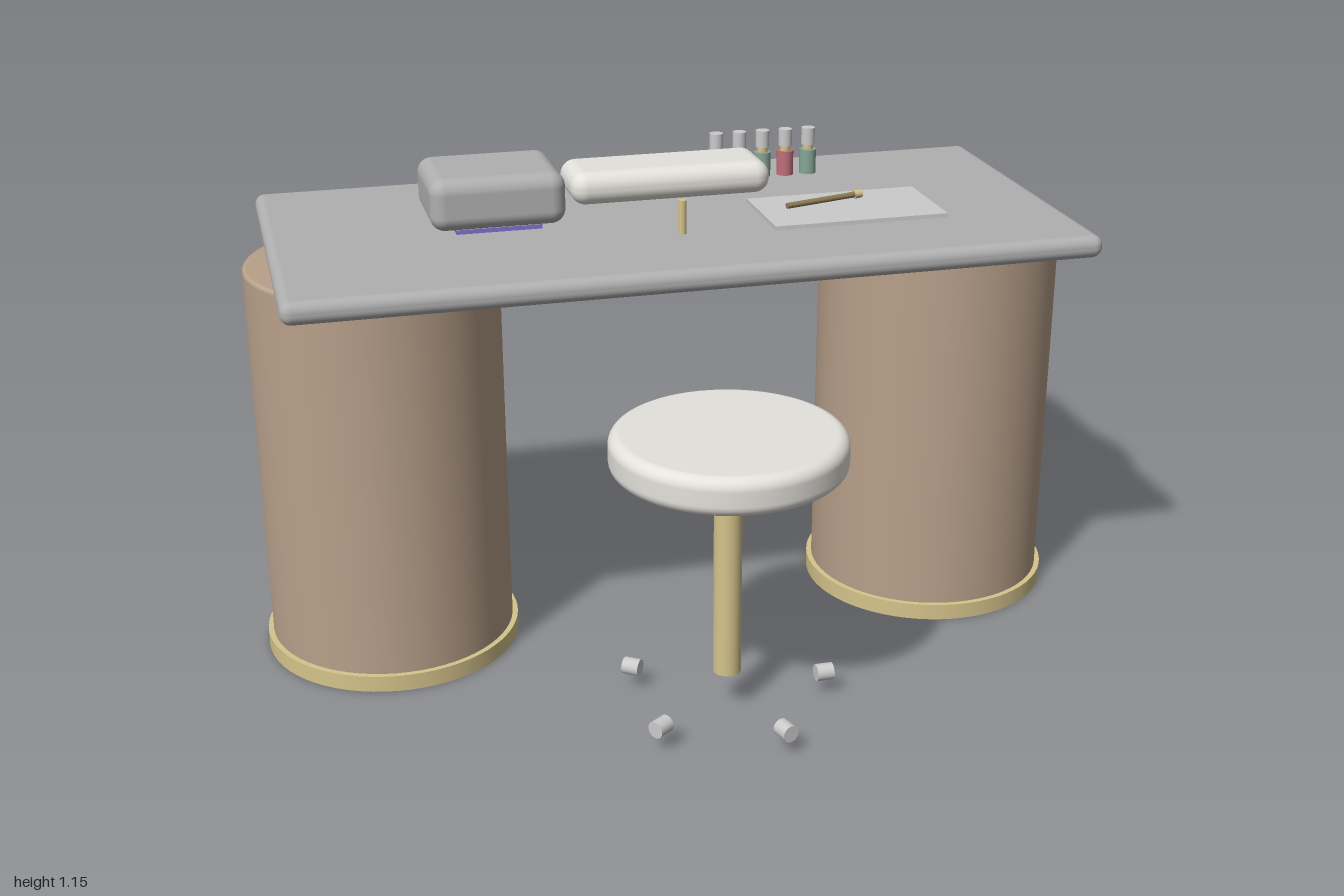
import * as THREE from 'three';
import { RoundedBoxGeometry } from 'three/addons/geometries/RoundedBoxGeometry.js';

const mat = (color) => new THREE.MeshStandardMaterial({ color });
const grey = mat(0xcccccc), stone = mat(0xb0b0b0), cream = mat(0xe4e2dc);
const tan = mat(0xb8a08a), gold = mat(0xd6c48c), bronze = mat(0x8f7c58);
const violet = mat(0x8570d0), pink = mat(0xc0707c), green = mat(0x86a898);

export function createModel() {
  const root = new THREE.Group();

  const add = (name, geometry, material, x, y, z, parent = root) => {
    const mesh = new THREE.Mesh(geometry, material);
    mesh.name = name;
    mesh.position.set(x, y, z);
    parent.add(mesh);
    return mesh;
  };
  const group = (name) => {
    const g = new THREE.Group();
    g.name = name;
    root.add(g);
    return g;
  };
  const cyl = (r, h, n = 32) => new THREE.CylinderGeometry(r, r, h, n);
  const rounded = (w, h, d, r) => new RoundedBoxGeometry(w, h, d, 5, r);

  // Disc with softened rims, standing on its own y = 0
  const softDisc = (r, h, bevel) => {
    const pts = [new THREE.Vector2(0, 0)];
    for (let i = 0; i <= 8; i++) {
      const a = -Math.PI / 2 + (i / 8) * (Math.PI / 2);
      pts.push(new THREE.Vector2(r - bevel + bevel * Math.cos(a), bevel + bevel * Math.sin(a)));
    }
    for (let i = 0; i <= 8; i++) {
      const a = (i / 8) * (Math.PI / 2);
      pts.push(new THREE.Vector2(r - bevel + bevel * Math.cos(a), h - bevel + bevel * Math.sin(a)));
    }
    pts.push(new THREE.Vector2(0, h));
    return new THREE.LatheGeometry(pts, 64);
  };

  // Table: top on two drum pedestals with metal plinths
  const table = group('table');
  add('tableTop', rounded(1.86, 0.053, 0.865, 0.024), stone, 0, 0.989, -0.198, table);
  for (const [side, s] of [['left', 1], ['right', -1]]) {
    add(side + 'Pedestal', softDisc(0.292, 0.958, 0.01), tan, s * 0.695, 0.003, -0.197, table);
    add(side + 'Plinth', cyl(0.305, 0.04, 64), gold, s * 0.695, 0.02, -0.197, table);
  }

  // Stool: cushion, post and a ring of five casters
  const stool = group('stool');
  stool.position.z = 0.365;
  add('stoolSeat', softDisc(0.265, 0.09, 0.028), cream, 0, 0.599, 0, stool);
  add('stoolPost', cyl(0.032, 0.48), gold, 0, 0.335, 0, stool);
  const casterGeometry = cyl(0.02, 0.04, 24).rotateZ(Math.PI / 2);
  for (let i = 0; i < 5; i++) {
    const a = (i * Math.PI * 2) / 5;
    const caster = add('caster', casterGeometry, grey, 0.235 * Math.cos(a), 0.055, 0.235 * Math.sin(a), stool);
    caster.rotation.y = -a;
  }

  // Curing lamp with a half-round glowing insert below
  const lamp = group('lamp');
  add('lampBody', rounded(0.315, 0.123, 0.258, 0.035), stone, -0.402, 1.085, -0.268, lamp);
  const glow = new THREE.CylinderGeometry(0.1, 0.1, 0.22, 32, 1, false, -Math.PI / 2, Math.PI);
  glow.rotateX(Math.PI / 2);
  const glowMesh = add('lampGlow', glow, violet, -0.402, 1.026, -0.268, lamp);
  glowMesh.material = violet.clone();
  glowMesh.material.side = THREE.DoubleSide;

  // Arm rest cushion and its two pegs
  const armRest = group('armRest');
  add('armCushion', rounded(0.475, 0.077, 0.182, 0.036), cream, 0, 1.109, -0.2, armRest);
  for (const z of [-0.036, -0.36]) add('armRestPeg', cyl(0.01, 0.08, 20), gold, 0, 1.056, z, armRest);

  // Tray with a slim brush
  add('tray', new THREE.BoxGeometry(0.423, 0.01, 0.237), grey, 0.425, 1.021, -0.12);
  const brush = group('brush');
  brush.position.set(0.37, 1.041, -0.133);
  brush.rotation.y = 0.27;
  add('brushHandle', cyl(0.007, 0.2, 16).rotateZ(Math.PI / 2), bronze, 0, 0, 0, brush);
  add('brushTip', cyl(0.01, 0.02, 16).rotateZ(Math.PI / 2), gold, 0.1, 0, 0, brush);

  // Row of polish bottles
  const bottles = group('polishBottles');
  [pink, green, green, pink, green].forEach((color, i) => {
    const x = 0.2 + i * 0.06, z = -0.465;
    add('bottleBody', cyl(0.021, 0.062, 24), color, x, 1.046, z, bottles);
    add('bottleNeck', cyl(0.013, 0.016, 20), gold, x, 1.084, z, bottles);
    add('bottleCap', cyl(0.017, 0.042, 24), grey, x, 1.111, z, bottles);
  });

  return root;
}
